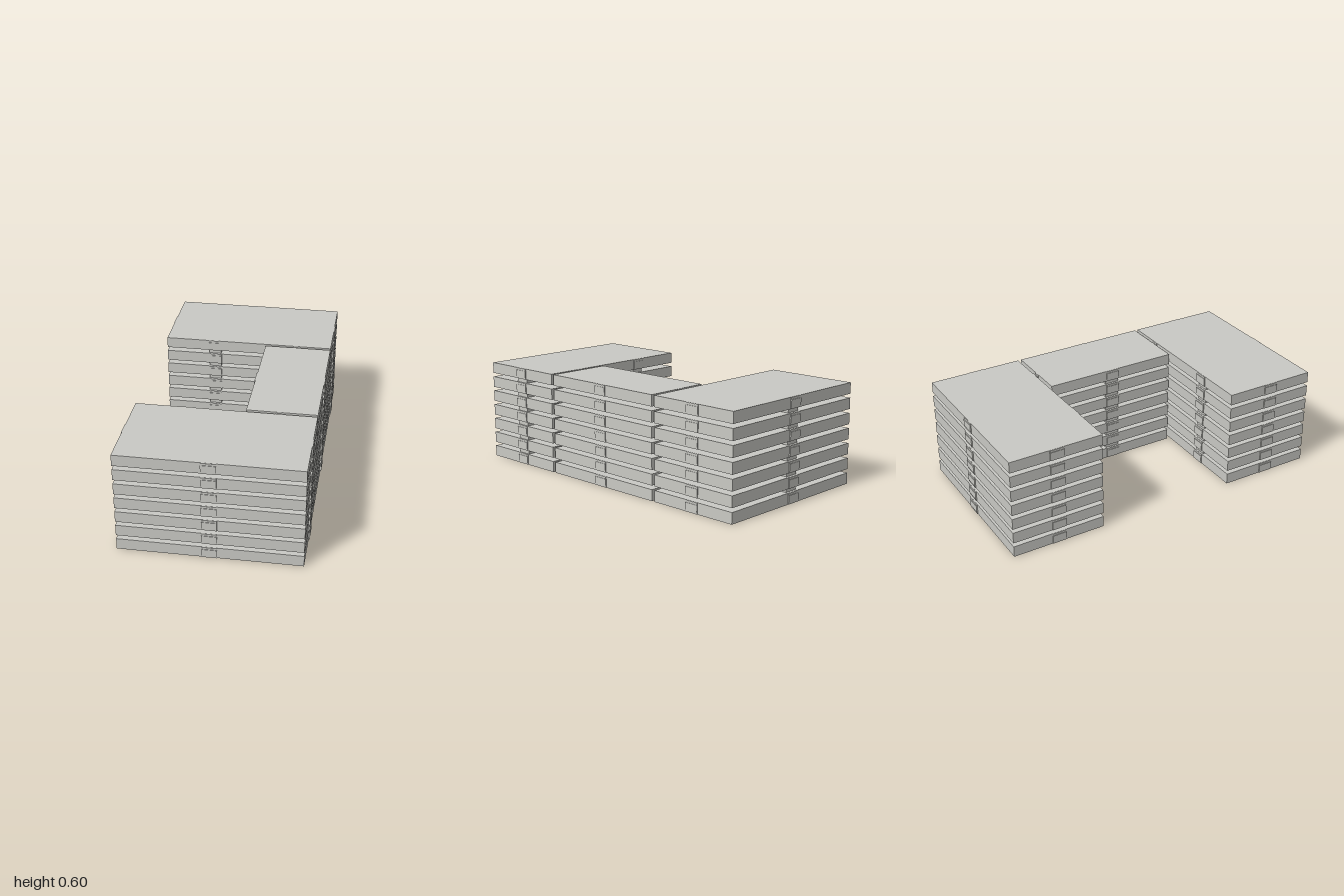
import * as THREE from 'three';

const FLOORS = 7, PITCH = 0.0897, SLAB = 0.066, TOP = 0.604;

export function createModel() {
  const model = new THREE.Group();
  const concrete = new THREE.MeshStandardMaterial({ color: 0xc9c9c4 });
  concrete.name = 'concrete';

  // Box given by its bounds on each axis
  const block = (parent, name, x0, x1, y0, y1, z0, z1) => {
    const mesh = new THREE.Mesh(new THREE.BoxGeometry(x1 - x0, y1 - y0, z1 - z0), concrete);
    mesh.name = name;
    mesh.position.set((x0 + x1) / 2, (y0 + y1) / 2, (z0 + z1) / 2);
    parent.add(mesh);
  };

  // Wings in plan: x0, x1, z0, z1
  const wings = [
    ['backWing', -0.518, 0.516, -0.995, -0.432],
    ['linkWing', 0.112, 0.516, -0.412, 0.406],
    ['frontWing', -0.518, 0.516, 0.426, 0.989],
  ];

  // Shallow wall bays: centre x, centre z, width, whether the wall runs along x
  const bays = [
    [0, -0.995, 0.085, true], [0, 0.989, 0.085, true],
    [-0.21, -0.432, 0.08, true], [-0.21, 0.426, 0.08, true],
    [0.3, -0.432, 0.04, true], [0.3, 0.426, 0.04, true],
    [0.3, -0.412, 0.04, true], [0.3, 0.406, 0.04, true],
    [-0.518, -0.713, 0.085, false], [-0.518, 0.708, 0.085, false],
    [0.516, -0.713, 0.085, false], [0.516, 0.708, 0.085, false],
    [0.112, 0, 0.085, false], [0.516, 0, 0.085, false],
  ];

  // Stair cores that join the floors: x0, x1, z0, z1
  const cores = [
    [-0.043, 0.042, -0.98, -0.87],
    [-0.25, -0.175, -0.55, -0.442],
    [-0.25, -0.175, 0.436, 0.545],
    [0.122, 0.235, -0.043, 0.043],
    [0.395, 0.508, 0.668, 0.753],
  ];

  for (let i = 0; i < FLOORS; i++) {
    const floor = new THREE.Group();
    floor.name = `floor${i + 1}`;
    const y = i * PITCH;

    for (const [name, x0, x1, z0, z1] of wings) block(floor, name, x0, x1, y, y + SLAB, z0, z1);

    for (const [x, z, width, alongX] of bays) {
      // A full-height panel with a slightly prouder band across it
      for (const [name, inset, depth] of [['bayPanel', 0.001, 0.004], ['bayBand', 0.013, 0.007]]) {
        const hx = alongX ? width / 2 : depth, hz = alongX ? depth : width / 2;
        block(floor, name, x - hx, x + hx, y + inset, y + SLAB - inset, z - hz, z + hz);
      }
    }
    model.add(floor);
  }

  for (const [x0, x1, z0, z1] of cores) block(model, 'stairCore', x0, x1, 0.01, TOP - 0.01, z0, z1);

  return model;
}
